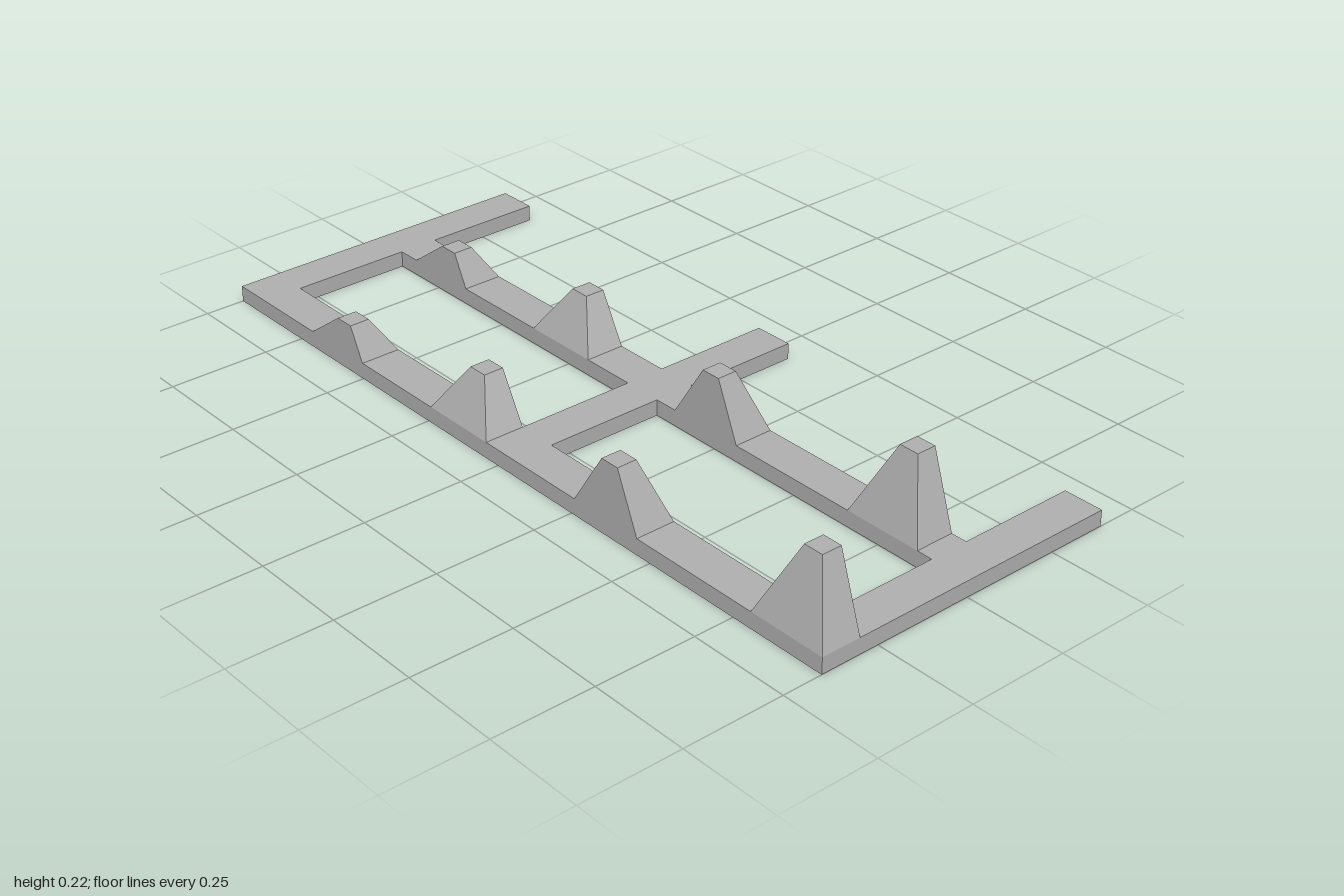
import * as THREE from 'three';

const BASE = 0.04;

// Flat frame: three long bars joined by two cross rails, open at the back
function frameGeometry() {
  const outline = [
    [-1, 0.4], [-1, -0.4], [-0.9, -0.4], [-0.9, -0.1], [-0.04, -0.1], [-0.04, -0.4],
    [0.06, -0.4], [0.06, -0.1], [0.9, -0.1], [0.9, -0.4], [1, -0.4], [1, 0.4],
  ];
  const toPoints = (list) => list.map(([x, z]) => new THREE.Vector2(x, z));
  const shape = new THREE.Shape(toPoints(outline));
  for (const [x0, x1] of [[-0.9, -0.04], [0.06, 0.9]]) {
    shape.holes.push(new THREE.Path(toPoints([[x0, 0], [x1, 0], [x1, 0.3], [x0, 0.3]])));
  }
  const geometry = new THREE.ExtrudeGeometry(shape, { depth: BASE, bevelEnabled: false });
  geometry.rotateX(Math.PI / 2);
  geometry.translate(0, BASE, 0);
  return geometry;
}

// Tapered tooth: one upright face, the opposite face sloping in to half depth
function toothGeometry(height, topStart, uprightFront) {
  const geometry = new THREE.BoxGeometry(0.2, height, 0.1);
  geometry.translate(0.1, height / 2, 0.05);
  const p = geometry.attributes.position;
  for (let i = 0; i < p.count; i++) {
    if (p.getY(i) < height / 2) continue;
    p.setX(i, topStart + (p.getX(i) > 0.1 ? 0.05 : 0));
    p.setZ(i, (p.getZ(i) > 0.05 ? 0.05 : 0) + (uprightFront ? 0.05 : 0));
  }
  geometry.computeVertexNormals();
  return geometry;
}

export function createModel() {
  const group = new THREE.Group();
  const grey = new THREE.MeshStandardMaterial({ color: 0xb0b0b0, flatShading: true });
  grey.name = 'grey';

  const add = (name, geometry) => {
    const mesh = new THREE.Mesh(geometry, grey);
    mesh.name = name;
    group.add(mesh);
    return mesh;
  };

  add('frame', frameGeometry());

  // Teeth rise from one side to the other; their sloped faces alternate
  const teeth = [
    { x: -0.84, height: 0.08, topStart: 0.11, uprightFront: true },
    { x: -0.38, height: 0.12, topStart: 0.085, uprightFront: false },
    { x: 0.12, height: 0.14, topStart: 0.09, uprightFront: true },
    { x: 0.66, height: 0.18, topStart: 0.09, uprightFront: false },
  ];
  teeth.forEach(({ x, height, topStart, uprightFront }, i) => {
    const geometry = toothGeometry(height, topStart, uprightFront);
    add(`backTooth${i + 1}`, geometry).position.set(x, BASE, -0.1);
    add(`frontTooth${i + 1}`, geometry).position.set(x + 0.14, BASE, 0.3);
  });

  return group;
}
